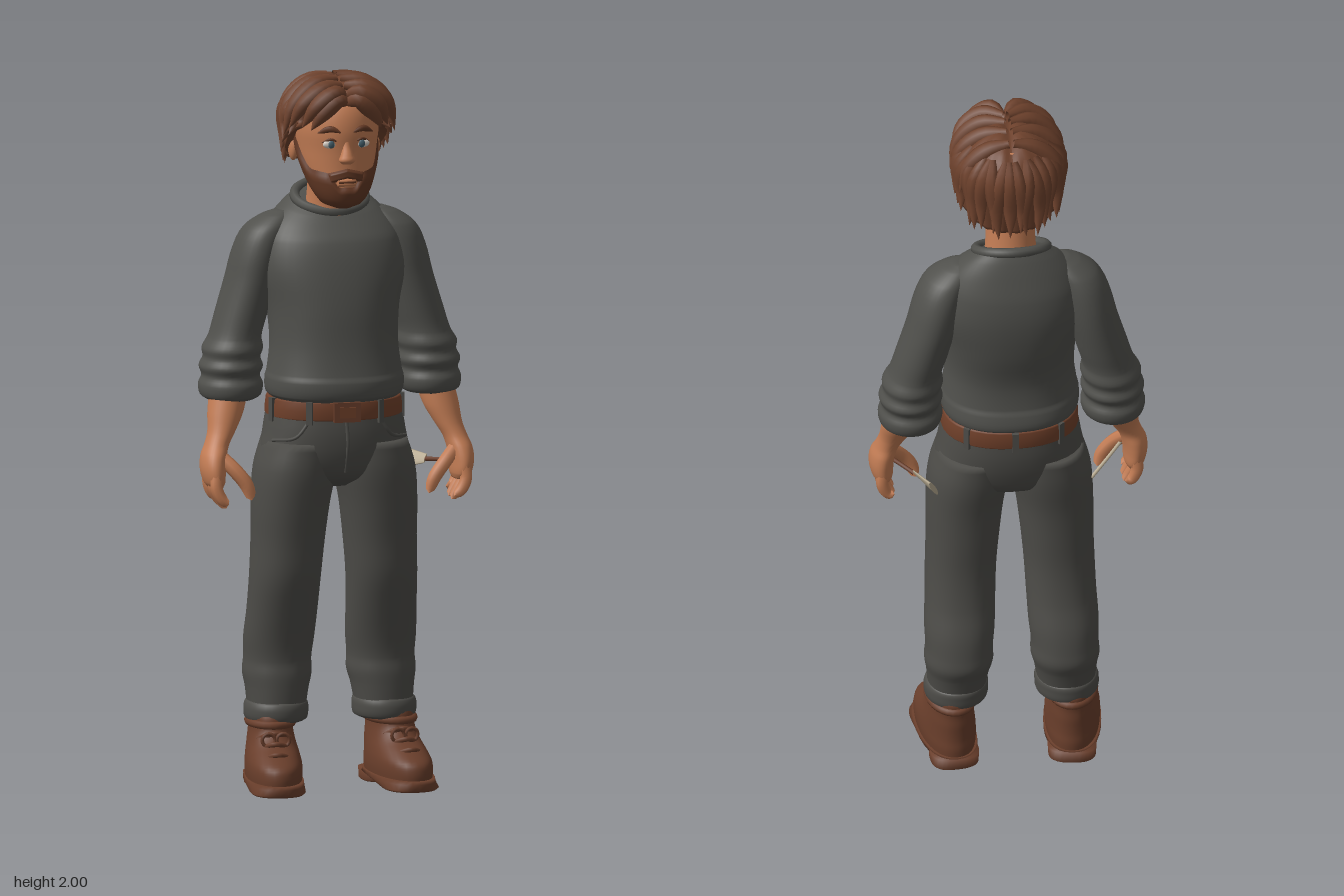
import * as THREE from 'three';

const mat = (name, color, side = THREE.FrontSide) => {
  const m = new THREE.MeshStandardMaterial({ color, side });
  m.name = name;
  return m;
};

// Smooth interpolation of equally long table rows keyed by their first number
function interp(rows, k) {
  let i = 0;
  while (i < rows.length - 2 && k > rows[i + 1][0]) i++;
  const a = rows[i], b = rows[i + 1], p = rows[Math.max(i - 1, 0)], n = rows[Math.min(i + 2, rows.length - 1)];
  const h = b[0] - a[0], t = Math.min(1, Math.max(0, (k - a[0]) / h));
  return a.slice(1).map((v, j) => {
    const c = j + 1;
    const m0 = (b[c] - p[c]) / (b[0] - p[0]) * h, m1 = (n[c] - a[c]) / (n[0] - a[0]) * h;
    const t2 = t * t, t3 = t2 * t;
    return v * (2 * t3 - 3 * t2 + 1) + m0 * (t3 - 2 * t2 + t) + b[c] * (3 * t2 - 2 * t3) + m1 * (t3 - t2);
  });
}

const power = (v, p) => Math.sign(v) * Math.pow(Math.abs(v), 2 / p);

function build(pos, idx) {
  const g = new THREE.BufferGeometry();
  g.setAttribute('position', new THREE.Float32BufferAttribute(pos, 3));
  g.setIndex(idx);
  g.computeVertexNormals();
  return g;
}

// Closed body through horizontal rings [y, x, z, rx, rz, optional tilt], listed upwards
function loft(sections, { p = 2, side = 1, seg = 32, sub = 4 } = {}) {
  const rows = sections.map(r => [...r, 0].slice(0, 6));
  const ys = [rows[0][0]], pos = [], idx = [];
  for (let i = 1; i < rows.length; i++)
    for (let s = 1; s <= sub; s++) ys.push(rows[i - 1][0] + (rows[i][0] - rows[i - 1][0]) * s / sub);
  ys.forEach((y, i) => {
    const [x, z, rx, rz, tilt] = interp(rows, y);
    for (let j = 0; j < seg; j++) {
      const a = j / seg * Math.PI * 2, dz = rz * power(Math.cos(a), p);
      pos.push(side * x + rx * power(Math.sin(a), p), y - tilt * dz, z + dz);
      const A = i * seg + j, B = i * seg + (j + 1) % seg;
      if (i < ys.length - 1) idx.push(A, B, B + seg, A, B + seg, A + seg);
    }
  });
  for (const i of [0, ys.length - 1]) {
    const [x, z] = interp(rows, ys[i]), c = pos.length / 3;
    pos.push(side * x, ys[i], z);
    for (let j = 0; j < seg; j++) {
      const A = i * seg + j, B = i * seg + (j + 1) % seg;
      if (i) idx.push(c, A, B);
      else idx.push(c, B, A);
    }
  }
  return build(pos, idx);
}

// Grid surface from a point function of u and v
function sheet(nu, nv, fn) {
  const pos = [], idx = [];
  for (let j = 0; j <= nv; j++) for (let i = 0; i <= nu; i++) {
    pos.push(...fn(i / nu, j / nv));
    const A = j * (nu + 1) + i;
    if (i < nu && j < nv) idx.push(A, A + 1, A + nu + 2, A, A + nu + 2, A + nu + 1);
  }
  return build(pos, idx);
}

// Tube whose radius follows a rule along its length
function taper(points, r, rule = () => 1, n = 14) {
  const curve = new THREE.CatmullRomCurve3(points.map(p => new THREE.Vector3(...p)));
  const g = new THREE.TubeGeometry(curve, n, r, 8), P = g.attributes.position, v = new THREE.Vector3();
  for (let i = 0; i <= n; i++) {
    const c = curve.getPointAt(i / n), f = rule(i / n);
    for (let j = 0; j <= 8; j++) {
      v.fromBufferAttribute(P, i * 9 + j).sub(c).multiplyScalar(f).add(c);
      P.setXYZ(i * 9 + j, v.x, v.y, v.z);
    }
  }
  return g;
}
const lockRule = u => Math.sin(Math.PI * (0.15 + 0.85 * u));
const fingerRule = u => Math.sqrt(Math.max(0, 1 - Math.pow(u, 7)));
const pointed = u => 0.15 + 0.85 * Math.sin(Math.PI * u);

export function createModel() {
  const D = THREE.DoubleSide;
  const M = {
    skin: mat('skin', 0xc27c54), hair: mat('brown hair', 0x6d412c, D), beard: mat('dark beard', 0x623824, D),
    sweater: mat('grey sweater', 0x50504c), pants: mat('grey trousers', 0x4d4c48), leather: mat('brown leather', 0x693e2b),
    belt: mat('belt brown', 0x70402a), white: mat('eye white', 0xd6cfc6), iris: mat('iris blue', 0x45606c),
    bristle: mat('bristle beige', 0xb8ab92),
  };
  const root = new THREE.Group();
  const add = (name, geo, m, at = [0, 0, 0]) => {
    const mesh = new THREE.Mesh(geo, m);
    mesh.name = name;
    mesh.position.set(...at);
    root.add(mesh);
    return mesh;
  };
  const blob = (name, m, at, size) => add(name, new THREE.SphereGeometry(1, 20, 14), m, at).scale.set(...size);

  // Head and neck
  const head = [[1.64, 0, .085, .012, .02], [1.65, 0, .08, .042, .048], [1.67, 0, .072, .062, .068], [1.70, 0, .055, .08, .09],
    [1.75, 0, .03, .099, .114], [1.80, 0, .01, .111, .135], [1.86, 0, .005, .118, .143], [1.92, 0, 0, .108, .13], [1.965, 0, 0, .065, .085]];
  add('head', loft(head, { seg: 40 }), M.skin);
  add('neck', loft([[1.56, 0, -.05, .085, .08], [1.64, 0, -.04, .07, .07], [1.75, 0, -.02, .068, .07]]), M.skin);
  add('nose', loft([[1.765, 0, .143, .014, .012], [1.775, 0, .146, .023, .021], [1.79, 0, .145, .018, .018],
    [1.815, 0, .141, .011, .01], [1.84, 0, .136, .009, .008]], { seg: 16 }), M.skin);

  // Facial hair and lips lie on the head's own surface
  const facePatch = (name, m, reach, lo, hi, off, closed) => add(name, sheet(40, 10, (u, v) => {
    const a = (u * 2 - 1) * reach, low = lo(Math.abs(a)), y = low + (hi(Math.abs(a)) - low) * v;
    const [, z, rx, rz] = interp(head, y);
    const e = off * Math.min(1, (1 - v) * 5, closed ? v * 5 : 1, u * 12, (1 - u) * 12) + .001;
    return [(rx + e) * Math.sin(a), y - (1 - v) * off * .5, z + (rz + e) * Math.cos(a)];
  }), m);
  const beardTop = [[0, 1.7], [.3, 1.702], [.5, 1.735], [.8, 1.742], [1.2, 1.755], [1.5, 1.83], [1.75, 1.83]];
  facePatch('beard', M.beard, 1.75, () => 1.64, a => interp(beardTop, a)[0], .009, false);
  facePatch('moustache', M.beard, .55, a => 1.729 - a * .03, a => 1.752 - a * .025, .009, true);
  facePatch('lips', M.skin, .32, () => 1.705, () => 1.725, .006, true);
  facePatch('mouthLine', M.beard, .3, () => 1.714, () => 1.718, .0075, true);
  for (const s of [1, -1]) {
    blob('eyeWhite', M.white, [s * .044, 1.82, .134], [.022, .012, .008]);
    blob('iris', M.iris, [s * .043, 1.82, .1395], [.0095, .011, .005]);
    add('upperEyelid', taper([[s * .02, 1.824, .14], [s * .044, 1.834, .1395], [s * .068, 1.823, .125]], .004, pointed), M.beard);
    add('eyebrow', taper([[s * .015, 1.852, .145], [s * .045, 1.863, .14], [s * .078, 1.85, .121]], .009, pointed), M.beard);
    blob('ear', M.skin, [s * .115, 1.79, -.012], [.014, .036, .024]);
  }

  // Hair cap with a parting, ridges and a hairline that varies around the head
  const hairline = [[0, 1.935], [.5, 1.905], [1, 1.86], [1.4, 1.835], [1.75, 1.775], [2.3, 1.745], [3.15, 1.735]];
  const edge = a => interp(hairline, Math.abs(Math.atan2(Math.sin(a), Math.cos(a))))[0];
  const hairPoint = (a, y, off = 0) => {
    const f = y > 1.86 ? Math.sqrt(Math.max(0, 1 - ((y - 1.86) / .135) ** 2)) : 1 - 1.1 * (1.86 - y);
    return [(.146 * f + off) * Math.sin(a), y, (.155 * f + off) * Math.cos(a)];
  };
  add('hairCap', sheet(96, 20, (u, v) => {
    const a = (u * 2 - 1) * Math.PI, drop = Math.min(1, (1 - v) / .92);
    const y = 1.995 - (1.995 - edge(a)) * (1 - Math.cos(drop * Math.PI / 2));
    const p = hairPoint(a, y, .004 * Math.sin(a * 18) * (1 - v));
    p[1] -= .012 * Math.exp(-((p[0] / .018) ** 2)) * v;
    if (v === 0) { p[0] *= .8; p[2] *= .8; }
    return p;
  }), M.hair);
  for (let i = 0; i < 24; i++) {
    const a = 1.0 + i / 23 * (2 * Math.PI - 2), low = edge(a), sw = .1 * Math.sin(i * 2.3), drop = .012 * Math.sin(i * 1.7);
    add('hairLock', taper([hairPoint(a - sw, 1.95, -.008), hairPoint(a, 1.90, -.004), hairPoint(a + sw, (1.88 + low) / 2, -.002),
      hairPoint(a + sw * .4, low - .008 + drop, .016)], .024, lockRule), M.hair);
  }
  const swept = [
    [[.006, 1.955, .125], [.035, 1.965, .152], [.085, 1.93, .152], [.122, 1.865, .118]],
    [[.004, 1.935, .135], [.03, 1.945, .158], [.07, 1.91, .155], [.1, 1.86, .135]],
    [[.006, 1.975, .09], [.06, 1.97, .115], [.115, 1.93, .115], [.15, 1.86, .085]],
    [[.006, 1.985, .04], [.07, 1.975, .06], [.13, 1.92, .065], [.158, 1.835, .05]],
    [[.006, 1.985, -.01], [.07, 1.972, .005], [.13, 1.92, .01], [.155, 1.82, .012]],
    [[.006, 1.98, -.06], [.065, 1.963, -.06], [.12, 1.91, -.06], [.143, 1.83, -.06]]];
  for (const s of [1, -1]) for (const path of swept)
    add('sweptLock', taper(path.map(([x, y, z]) => [s * x, y, z]), .026, lockRule), M.hair);

  // Sweater body with collar and hem
  add('sweaterBody', loft([[1.095, 0, -.012, .172, .148], [1.11, 0, -.012, .188, .164], [1.15, 0, -.008, .191, .163], [1.17, 0, -.008, .186, .155],
    [1.25, 0, -.014, .177, .147], [1.35, 0, -.03, .184, .153], [1.45, 0, -.045, .205, .15], [1.53, 0, -.055, .197, .135],
    [1.58, 0, -.06, .172, .113, .1], [1.62, 0, -.062, .133, .093, .25], [1.642, 0, -.06, .1, .08, .4]], { p: 2.25, seg: 48 }), M.sweater);
  const collar = [];
  for (let i = 0; i < 24; i++) {
    const a = i / 24 * Math.PI * 2, z = .079 * Math.cos(a);
    collar.push(new THREE.Vector3(.098 * Math.sin(a), 1.642 - .4 * z, -.06 + z));
  }
  add('collar', new THREE.TubeGeometry(new THREE.CatmullRomCurve3(collar, true), 48, .014, 8, true), M.sweater);

  // Belt with buckle and loops
  add('belt', loft([[1.045, 0, -.014, .186, .15], [1.05, 0, -.014, .19, .155], [1.095, 0, -.014, .187, .155], [1.1, 0, -.014, .18, .148]], { p: 2.2, sub: 2 }), M.belt);
  add('buckle', new THREE.BoxGeometry(.075, .055, .016), M.leather, [0, 1.072, .145]);
  add('buckleInset', new THREE.BoxGeometry(.045, .03, .006), M.belt, [0, 1.072, .154]);
  for (const a of [-2.4, -1.3, -.55, .55, 1.3, 2.4, Math.PI])
    add('beltLoop', new THREE.BoxGeometry(.018, .065, .014), M.pants, [.19 * Math.sin(a), 1.068, -.014 + .157 * Math.cos(a)]).rotation.y = a;

  // Trouser seat and fly
  add('trouserSeat', loft([[.85, 0, -.01, .09, .06], [.88, 0, -.01, .165, .115], [.93, 0, -.01, .206, .14], [1, 0, -.012, .198, .152], [1.065, 0, -.014, .187, .15]], { p: 2.2 }), M.pants);
  add('flySeam', taper([[0, 1.05, .137], [.004, .98, .14], [.002, .9, .118]], .005), M.pants);

  for (const s of [1, -1]) {
    const L = (name, rows, m, p = 2) => add(name, loft(rows, { side: s, p }), m);
    // Trouser leg, turned-up cuff and pocket seam
    L('trouserLeg', [[.21, .152, -.058, .078, .088], [.28, .149, -.065, .087, .097], [.32, .147, -.072, .095, .104], [.36, .146, -.072, .093, .1],
      [.42, .144, -.062, .097, .1], [.5, .14, -.04, .097, .1], [.6, .136, -.02, .098, .108], [.7, .13, -.015, .101, .115],
      [.8, .124, -.01, .107, .126], [.9, .112, -.01, .112, .14], [.98, .1, -.012, .1, .14]], M.pants, 2.15);
    L('trouserCuff', [[.188, .153, -.058, .076, .087], [.195, .153, -.058, .086, .097], [.22, .153, -.058, .089, .1], [.238, .152, -.06, .086, .097], [.246, .152, -.06, .078, .088]], M.pants);
    add('pocketSeam', taper([[s * .1, 1.045, .118], [s * .135, 1.0, .108], [s * .188, .985, .05]], .005), M.pants);

    // Sleeve with pushed-up folds
    L('sleeve', [[1.09, .282, -.062, .068, .078], [1.1, .281, -.062, .083, .094], [1.13, .28, -.063, .089, .1], [1.155, .28, -.063, .08, .09],
      [1.18, .279, -.064, .088, .101], [1.205, .277, -.065, .079, .092], [1.23, .274, -.066, .084, .098], [1.262, .267, -.068, .073, .089],
      [1.32, .25, -.072, .072, .09], [1.42, .222, -.075, .07, .093], [1.5, .202, -.072, .069, .091], [1.56, .18, -.068, .062, .077],
      [1.595, .15, -.065, .045, .05], [1.61, .135, -.063, .02, .025]], M.sweater);

    // Forearm, palm, fingers and thumb
    L('forearmAndPalm', [[.858, .345, .028, .02, .045], [.875, .348, .027, .029, .06], [.91, .351, .024, .034, .062], [.945, .347, .018, .035, .055],
      [.975, .336, .01, .034, .043], [1.01, .32, -.002, .039, .042], [1.06, .304, -.022, .05, .05], [1.13, .288, -.045, .053, .056]], M.skin);
    for (const [z, tip] of [[-.022, .825], [.012, .803], [.048, .8], [.078, .815]]) add('finger',
      taper([[s * .35, .9, z * .9], [s * .352, .86, z], [s * .336, .828, z + .003], [s * .318, tip, z + .002]], .017, fingerRule), M.skin);
    add('thumb', taper([[s * .335, .945, .035], [s * .295, .905, .06], [s * .265, .865, .068], [s * .25, .822, .066]], .02, fingerRule), M.skin);

    // Boot: sole, heel, upper, padded rim and laces
    const boot = new THREE.Group();
    boot.name = 'boot';
    const B = (name, geo) => {
      const mesh = new THREE.Mesh(geo, M.leather);
      mesh.name = name;
      boot.add(mesh);
      return mesh;
    };
    B('sole', loft([[.008, 0, .1, .07, .085], [.014, 0, .1, .077, .093], [.03, 0, .015, .08, .178], [.04, 0, .014, .079, .176]], { p: 2.4, sub: 1 }));
    B('heel', loft([[0, 0, -.105, .062, .055], [.004, 0, -.105, .066, .06], [.035, 0, -.105, .068, .062]], { p: 2.8, sub: 1 }));
    B('upper', loft([[.03, 0, .012, .074, .172], [.06, 0, .012, .077, .173], [.085, 0, .008, .076, .166], [.108, 0, -.012, .072, .145],
      [.135, 0, -.04, .066, .117], [.165, 0, -.055, .061, .1], [.2, 0, -.06, .059, .098], [.22, 0, -.06, .055, .09]], { p: 2.2 }));
    const rim = B('paddedRim', new THREE.TorusGeometry(.06, .012, 8, 28));
    rim.rotation.x = Math.PI / 2;
    rim.scale.y = 1.55;
    rim.position.set(0, .185, -.058);
    for (const [y, z] of [[.112, .118], [.135, .078], [.16, .05]])
      B('lace', taper([[-.045, y - .012, z - .03], [0, y + .006, z + .006], [.045, y - .012, z - .03]], .007));
    for (const x of [.02, -.02]) B('laceBow', new THREE.TorusGeometry(.018, .005, 6, 16)).position.set(x, .15, .066);
    boot.position.x = s * .175;
    boot.rotation.y = s * .11;
    root.add(boot);
  }

  // Flat brush in the left hand, thin stick in the right
  add('brushHandle', taper([[.335, .905, .06], [.3, .905, .01], [.265, .9, -.035]], .006), M.leather);
  const fan = add('brushBristles', new THREE.CylinderGeometry(.014, .032, .085, 12), M.bristle, [.242, .897, -.07]);
  fan.quaternion.setFromUnitVectors(new THREE.Vector3(0, 1, 0), new THREE.Vector3(.5, .1, .8).normalize());
  fan.scale.x = .22;
  add('stick', taper([[-.335, .93, .06], [-.28, .9, .0], [-.222, .86, -.05]], .005), M.bristle);
  return root;
}
